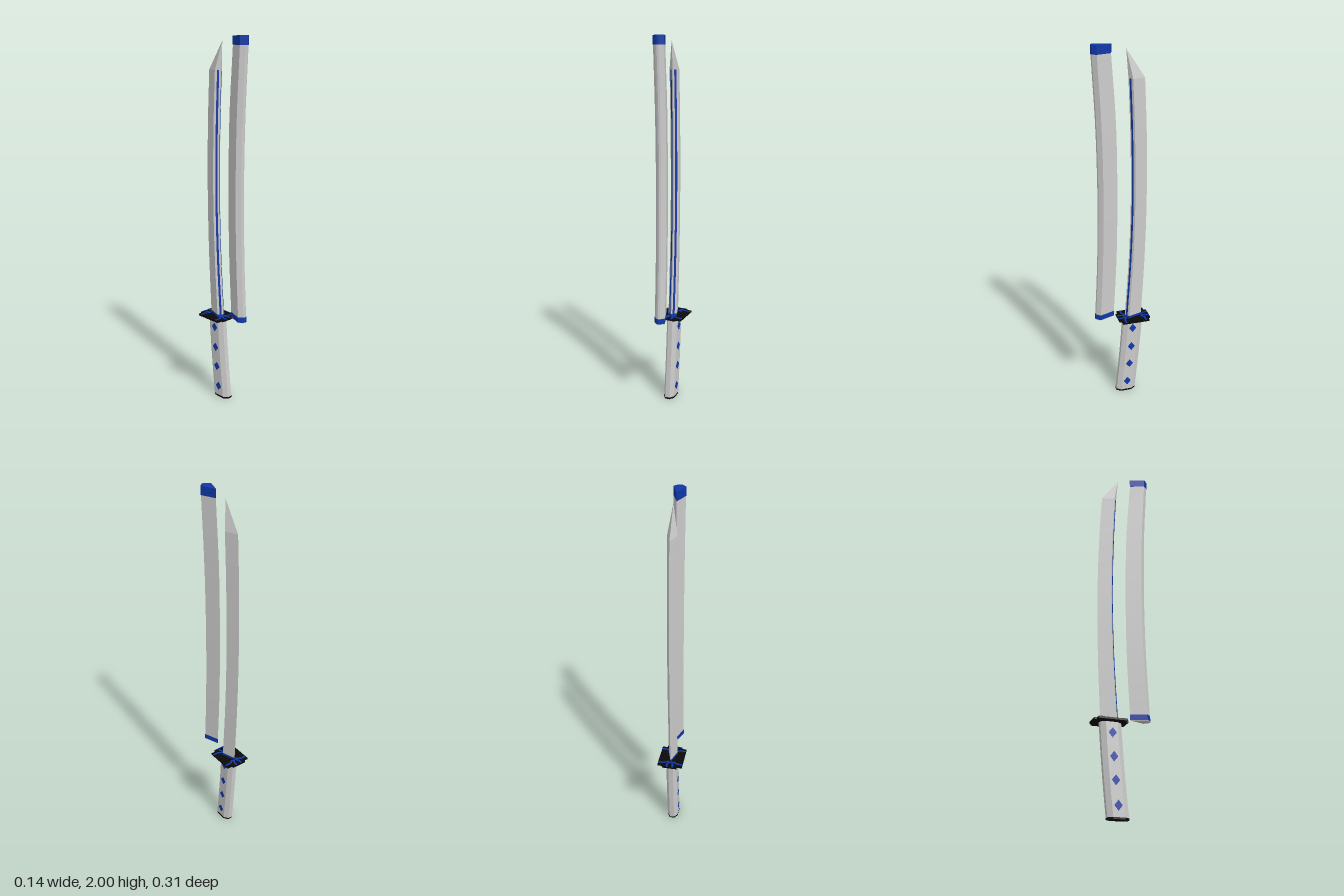
import * as THREE from 'three';

const paint = (color) => new THREE.MeshStandardMaterial({ color, flatShading: true });
const GREY = paint(0xcccccc), BLUE = paint(0x1038a8), BLACK = paint(0x0a0a0a);

// Half cross-sections [x, fraction of depth from the front]; mirrored to a full ring
const SHEATH = [[0, 0], [0.01, 0.03], [0.03, 0.23], [0, 1]];
const BLADE = [[0, 0], [0.025, 0.2], [0, 1]];
const GRIP = [[0.013, 0], [0.03, 0.22], [0.03, 0.78], [0.013, 1]];

// Ring at one station, where station = (depth, y, front z)
function ring(half, s, grow = 0) {
  const pts = half.map(([x, t]) => new THREE.Vector3(
    x === 0 ? 0 : x + grow, s.y, s.z - t * s.x + grow * (1 - 2 * t)));
  const other = half.filter(([x]) => x > 0).length;
  const mirrored = pts.filter((p) => p.x > 0).reverse().map((p) => new THREE.Vector3(-p.x, p.y, p.z));
  return other ? [...pts, ...mirrored] : pts;
}

// Skin a stack of rings; closed rings get end caps
function loft(name, material, rings, closed = true) {
  const v = [], n = rings[0].length;
  const tri = (...p) => p.forEach((q) => v.push(q.x, q.y, q.z));
  for (let j = 0; j + 1 < rings.length; j++) {
    const a = rings[j], b = rings[j + 1];
    for (let i = 0; i < (closed ? n : n - 1); i++) {
      const k = (i + 1) % n;
      tri(a[i], a[k], b[k]);
      tri(a[i], b[k], b[i]);
    }
  }
  if (closed) {
    const a = rings[0], b = rings[rings.length - 1];
    for (let i = 1; i + 1 < n; i++) {
      tri(a[0], a[i + 1], a[i]);
      tri(b[0], b[i], b[i + 1]);
    }
  }
  const g = new THREE.BufferGeometry();
  g.setAttribute('position', new THREE.Float32BufferAttribute(v, 3));
  g.computeVertexNormals();
  const mesh = new THREE.Mesh(g, material);
  mesh.name = name;
  return mesh;
}

// Smooth run of stations through [y, front z, depth]
function stations(keys, steps) {
  const curve = new THREE.CatmullRomCurve3(keys.map(([y, z, d]) => new THREE.Vector3(d, y, z)));
  return curve.getPoints(steps);
}

function box(name, material, w, h, d, x, y, z) {
  const m = new THREE.Mesh(new THREE.BoxGeometry(w, h, d), material);
  m.name = name;
  m.position.set(x, y, z);
  return m;
}

function makeSheath() {
  const g = new THREE.Group();
  g.name = 'sheath';
  const line = stations([[0.505, 0.154, 0.108], [0.85, 0.137, 0.109], [1.2, 0.13, 0.108],
    [1.6, 0.136, 0.108], [1.955, 0.154, 0.102]], 14);
  const body = line.map((s) => ring(SHEATH, s));
  g.add(loft('sheathBody', GREY, body));
  const band = (name, keys) =>
    g.add(loft(name, BLUE, keys.map(([y, z, d]) => ring(SHEATH, new THREE.Vector3(d, y, z), 0.001))));
  band('sheathMouthBand', [[0.503, 0.154, 0.108], [0.532, 0.152, 0.108]]);
  band('sheathEndCap', [[1.955, 0.154, 0.102], [2.0, 0.155, 0.105]]);
  // Pale face at the open end
  g.add(loft('sheathMouth', GREY, [0.5, 0.503].map((y) => ring(SHEATH, new THREE.Vector3(0.106, y, 0.154)))));
  return g;
}

function makeBlade() {
  const g = new THREE.Group();
  g.name = 'blade';
  const line = stations([[0.485, -0.019, 0.096], [0.85, -0.042, 0.091], [1.2, -0.052, 0.088],
    [1.55, -0.047, 0.088], [1.83, -0.036, 0.086]], 14);
  const body = line.map((s) => ring(BLADE, s));
  // All corners run together at the point
  body.push(body[0].map(() => new THREE.Vector3(0, 1.975, -0.024)));
  g.add(loft('bladeBody', GREY, body));
  // Inlaid stripe on each front bevel
  for (const side of [1, -1]) {
    const rows = line.map((s) => {
      const at = (f) => new THREE.Vector3(side * (0.025 * f + 0.001), s.y, s.z - 0.2 * s.x * f + 0.001);
      return side > 0 ? [at(0.25), at(0.62)] : [at(0.62), at(0.25)];
    });
    g.add(loft('bladeStripe', BLUE, rows, false));
  }
  g.add(loft('bladeCollar', BLUE, [0.483, 0.498].map((y) =>
    ring(BLADE, new THREE.Vector3(0.096, y, -0.018), 0.002))));
  return g;
}

function makeGuard() {
  const g = new THREE.Group();
  g.name = 'guard';
  const zc = -0.068;
  // Stepped plate, drawn in plan as x against z
  const plan = [[0.07, 0.077], [0.042, 0.077], [0.042, 0.09]];
  const quarter = [...plan, ...[...plan].reverse().map(([x, z]) => [-x, z])];
  const outline = [...quarter, ...quarter.map(([x, z]) => [-x, -z])];
  const shape = new THREE.Shape(outline.map(([x, z]) => new THREE.Vector2(x, z)));
  const plate = new THREE.Mesh(
    new THREE.ExtrudeGeometry(shape, { depth: 0.01, bevelEnabled: false }).rotateX(-Math.PI / 2), BLACK);
  plate.name = 'guardPlate';
  plate.position.set(0, 0.475, zc);
  g.add(plate);
  // Bent inlay lines in each corner: straight from the rim, then in to the blade
  const bar = (x1, z1, x2, z2) => {
    const m = box('guardInlay', BLUE, Math.hypot(x2 - x1, z2 - z1), 0.002, 0.01,
      (x1 + x2) / 2, 0.4855, zc + (z1 + z2) / 2);
    m.rotation.y = -Math.atan2(z2 - z1, x2 - x1);
    g.add(m);
  };
  for (const sx of [1, -1]) for (const sz of [1, -1]) {
    bar(sx * 0.07, sz * 0.058, sx * 0.036, sz * 0.058);
    bar(sx * 0.038, sz * 0.058, sx * 0.012, sz * 0.042);
    bar(sx * 0.016, sz * 0.09, sx * 0.016, sz * 0.064);
    bar(sx * 0.016, sz * 0.066, sx * 0.004, sz * 0.046);
  }
  return g;
}

function makeHandle() {
  const g = new THREE.Group();
  g.name = 'handle';
  const line = stations([[0.008, 0.033, 0.11], [0.16, 0.017, 0.11], [0.32, 0.003, 0.11], [0.476, -0.008, 0.111]], 8);
  g.add(loft('grip', GREY, line.map((s) => ring(GRIP, s))));
  g.add(loft('pommel', BLACK, [0, 0.009].map((y) => ring(GRIP, new THREE.Vector3(0.11, y, 0.034), 0.0005))));
  // Diamond studs showing on both sides
  for (const [y, z] of [[0.065, -0.027], [0.185, -0.04], [0.3, -0.05], [0.42, -0.058]]) {
    const stud = new THREE.Mesh(
      new THREE.CylinderGeometry(1, 1, 0.063, 4).rotateZ(Math.PI / 2).scale(1, 0.026, 0.021), BLUE);
    stud.name = 'gripDiamond';
    stud.position.set(0, y, z);
    g.add(stud);
  }
  return g;
}

export function createModel() {
  const model = new THREE.Group();
  model.name = 'swordAndSheath';
  model.add(makeSheath(), makeBlade(), makeGuard(), makeHandle());
  return model;
}
